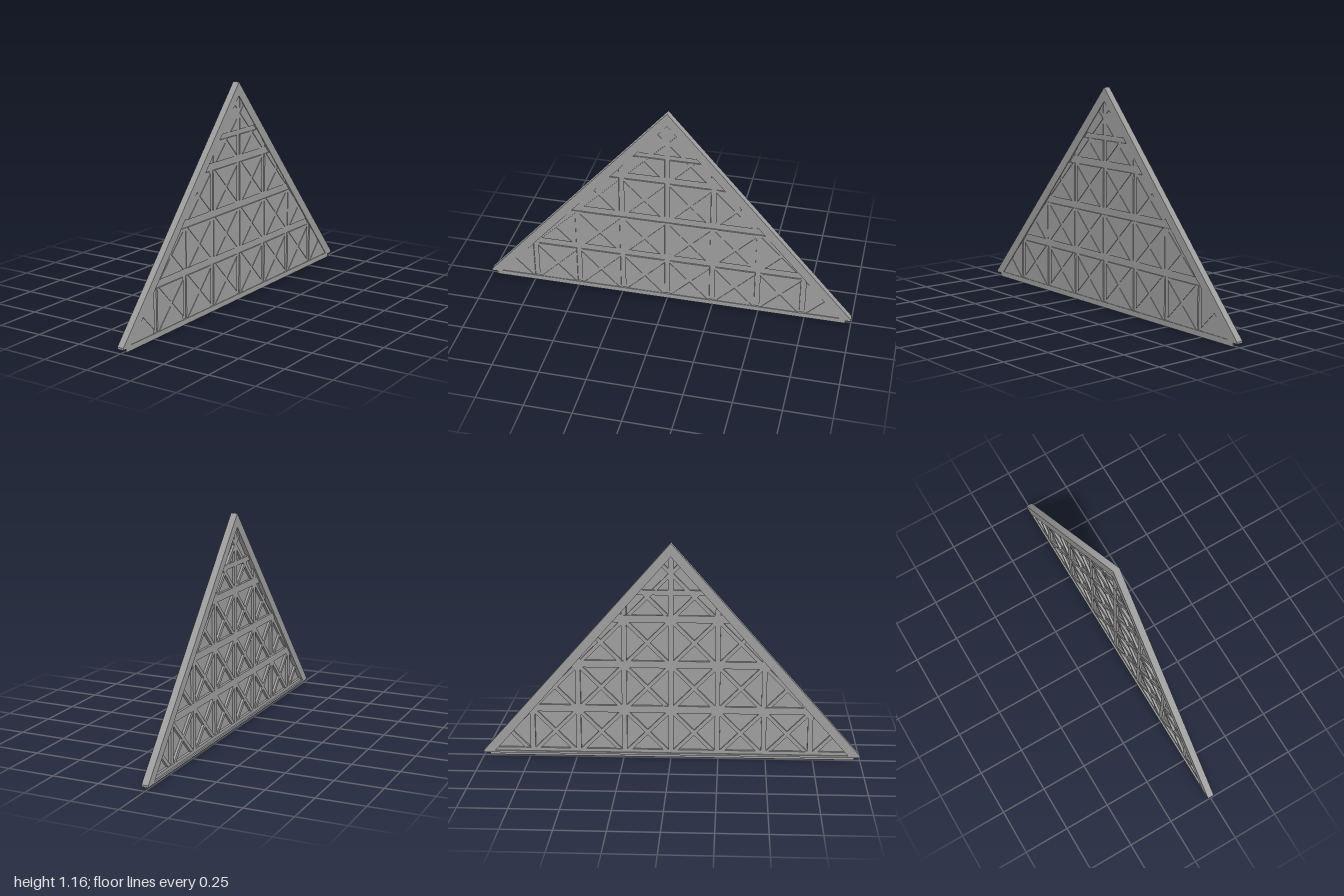
import * as THREE from 'three';

// Outer triangle (z, y): apex on top, short upright ends at the base corners
const BASE = 0.02, APEX = 1.162, HEEL = 0.03;
const SLOPE = APEX - HEEL;              // rise over one unit of half-width
const CELL = 0.245;                     // lattice spacing
const BACK = -0.018, FRONT = 0.018;     // frame faces along x
const TIMBER_BACK = -0.009;             // back of the lattice, set in from the frame
const INFILL_BACK = 0.007, INFILL_MID = 0.0115, INFILL_FRONT = 0.0145;
const STUD_WIDTH = 0.027, BRACE_WIDTH = 0.02;
// Horizontal rails: height, width
const RAILS = [[0.27, 0.038], [0.516, 0.038], [0.761, 0.038], [0.901, 0.026]];

const material = new THREE.MeshStandardMaterial({ color: 0x9e9e9e });

// Triangle outline inset sideways, starting at height y
function triangle(inset, y) {
  const half = 1 - inset - (y - HEEL) / SLOPE;
  return [[-half, y], [half, y], [0, HEEL + SLOPE * (1 - inset)]];
}
const OPENING = triangle(0.063, HEEL);
const LIMIT = triangle(0.055, HEEL - 0.005);

// Keep the part of a convex polygon left of the line a-b
function cut(poly, a, b) {
  const side = p => (b[0] - a[0]) * (p[1] - a[1]) - (b[1] - a[1]) * (p[0] - a[0]);
  const out = [];
  poly.forEach((p, j) => {
    const q = poly[(j + 1) % poly.length], sp = side(p), sq = side(q);
    if (sp >= 0) out.push(p);
    if (sp * sq < 0) {
      const t = sp / (sp - sq);
      out.push([p[0] + (q[0] - p[0]) * t, p[1] + (q[1] - p[1]) * t]);
    }
  });
  return out;
}

// Corners of a straight strip from p to q, counter-clockwise
function strip({ p, q, width }) {
  const dz = q[0] - p[0], dy = q[1] - p[1], k = width / 2 / Math.hypot(dz, dy);
  const nz = -dy * k, ny = dz * k;
  return [[p[0] - nz, p[1] - ny], [q[0] - nz, q[1] - ny],
    [q[0] + nz, q[1] + ny], [p[0] + nz, p[1] + ny]];
}

// Split polygons along a strip, leaving the strip empty
function split(polys, line) {
  const [a, b, c, d] = strip(line);
  return polys.flatMap(poly => [cut(poly, b, a), cut(poly, d, c)]).filter(p => p.length > 2);
}

const toPoints = pts => pts.map(p => new THREE.Vector2(p[0], p[1]));

// Flat (z, y) outline given thickness from x0 to x1
function slab(name, pts, x0, x1, hole) {
  const shape = new THREE.Shape(toPoints(pts));
  if (hole) shape.holes.push(new THREE.Path(toPoints(hole)));
  const geo = new THREE.ExtrudeGeometry(shape, { depth: x1 - x0, bevelEnabled: false });
  geo.rotateY(-Math.PI / 2).translate(x1, 0, 0);
  const mesh = new THREE.Mesh(geo, material);
  mesh.name = name;
  return mesh;
}

function group(name, parent) {
  const g = new THREE.Group();
  g.name = name;
  parent.add(g);
  return g;
}

export function createModel() {
  const model = new THREE.Group();
  model.name = 'triangularPanel';

  // Outer frame, with the shading of its sloping edges blended over the apex
  const frame = slab('frame',
    [[-1, BASE], [1, BASE], [1, HEEL], [0, APEX], [-1, HEEL]], BACK, FRONT, OPENING);
  const { position, normal } = frame.geometry.attributes;
  for (let i = 0; i < position.count; i++) {
    if (position.getY(i) > APEX - 0.001 && Math.abs(normal.getX(i)) < 0.5) normal.setXYZ(i, 0, 1, 0);
  }
  model.add(frame);

  // Centre lines of the lattice
  const rails = RAILS.map(([y, width]) => ({ p: [-1, y], q: [1, y], width }));
  const studs = [-3, -2, -1, 0, 1, 2, 3].map(i =>
    ({ p: [i * CELL, BASE], q: [i * CELL, APEX], width: STUD_WIDTH }));
  const braces = [];
  for (let i = -4; i <= 3; i++) {
    for (const s of [1, -1]) {
      const z = s * i * CELL;
      braces.push({ p: [z, BASE], q: [z + s * 1.2, BASE + 1.2], width: BRACE_WIDTH });
    }
  }

  // Timbers behind the infill, trimmed to the frame
  const timbers = (name, lines, back) => {
    const g = group(name + 's', model);
    lines.forEach(line => {
      const pts = LIMIT.reduce((poly, a, i) => cut(poly, a, LIMIT[(i + 1) % 3]), strip(line));
      if (pts.length > 2) g.add(slab(name, pts, back, INFILL_BACK + 0.0005));
    });
  };
  timbers('rail', [...rails, { p: [-1, 0.035], q: [1, 0.035], width: 0.025 }], TIMBER_BACK);
  timbers('stud', studs, TIMBER_BACK + 0.0006);
  timbers('brace', braces, TIMBER_BACK + 0.0015);

  // Infill: deep gaps over the rails and some studs, shallow grooves elsewhere
  const infill = group('infill', model);
  const rows = rails.reduce((polys, rail) => split(polys, rail), [LIMIT]);
  const openStuds = [studs, [], studs.slice(2, 5), [studs[3]], []];
  rows.forEach(row => {
    const middle = row.reduce((sum, p) => sum + p[1], 0) / row.length;
    const level = RAILS.filter(([y]) => y < middle).length;
    openStuds[level].reduce((polys, stud) => split(polys, stud), [row]).forEach(panel => {
      infill.add(slab('infillPanel', panel, INFILL_BACK, INFILL_MID));
      [...studs, ...braces].reduce((polys, line) => split(polys, line), [panel])
        .forEach(piece => infill.add(slab('infillFace', piece, INFILL_MID, INFILL_FRONT)));
    });
  });

  // Thin lip hanging below the frame
  model.add(slab('lowerLip',
    [[-0.97, 0], [0.97, 0], [0.97, BASE + 0.004], [-0.97, BASE + 0.004]],
    INFILL_BACK, INFILL_FRONT));

  // Solid backing that closes the panel behind the shallow gaps
  model.add(slab('backing', triangle(0.05, HEEL - 0.005), INFILL_BACK - 0.002, INFILL_BACK));
  return model;
}
